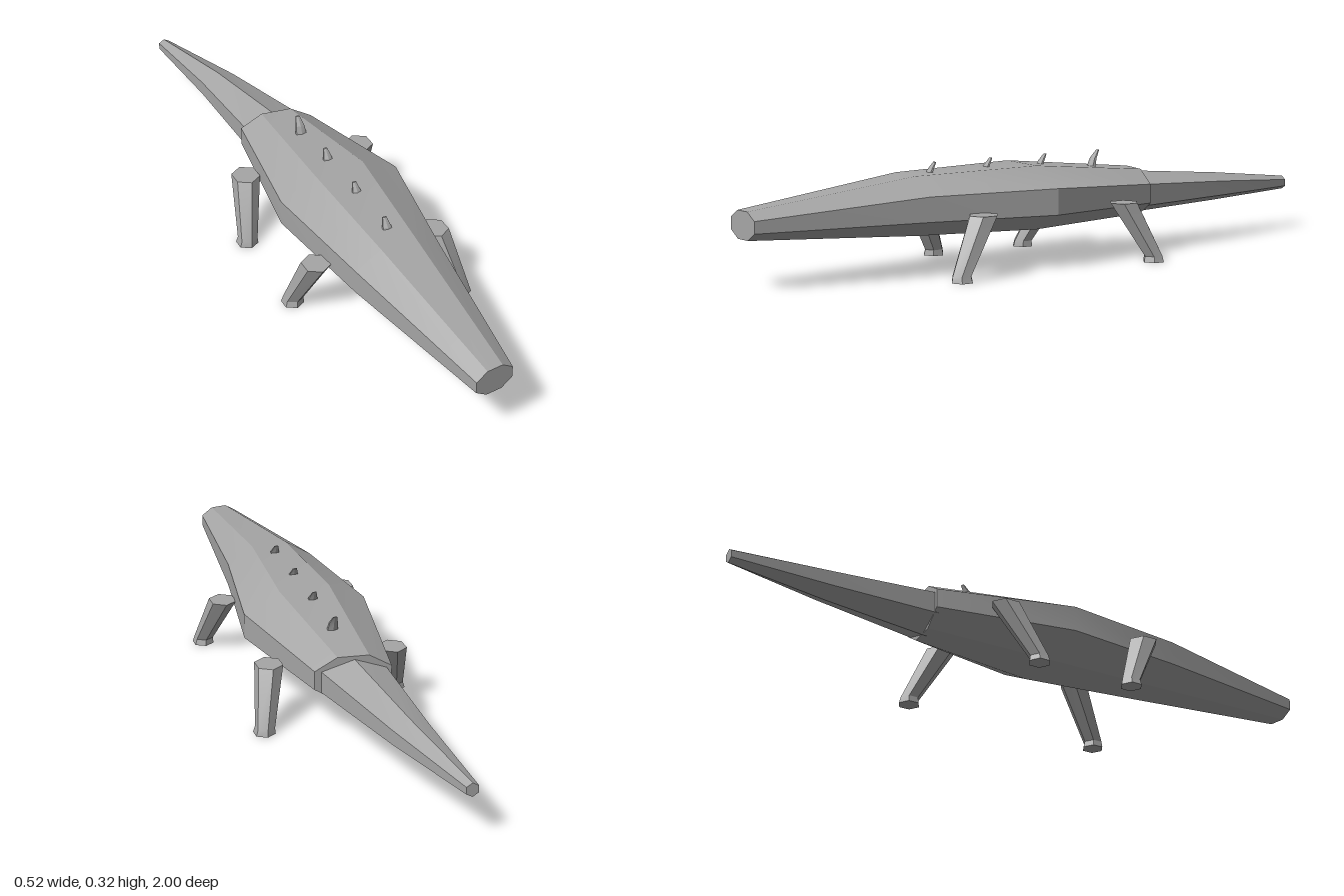
import * as THREE from 'three';
import { toCreasedNormals } from 'three/addons/utils/BufferGeometryUtils.js';

const V = (x, y, z) => new THREE.Vector3(x, y, z);

// Skin a list of equal-length rings and close both ends
function loft(rings, crease) {
  const pos = [];
  const tri = (...pts) => pts.forEach((p) => pos.push(p.x, p.y, p.z));
  const n = rings[0].length;
  for (let i = 0; i < rings.length - 1; i++) {
    for (let j = 0; j < n; j++) {
      const k = (j + 1) % n;
      const a = rings[i][j], b = rings[i][k], c = rings[i + 1][k], d = rings[i + 1][j];
      tri(a, b, c);
      tri(a, c, d);
    }
  }
  const first = rings[0], last = rings[rings.length - 1];
  for (let j = 1; j < n - 1; j++) {
    tri(first[0], first[j + 1], first[j]);
    tri(last[0], last[j], last[j + 1]);
  }
  const g = new THREE.BufferGeometry();
  g.setAttribute('position', new THREE.Float32BufferAttribute(pos, 3));
  return toCreasedNormals(g, crease);
}

// Eight-sided body section; skew slants the section in plan
function bodyRing({ z, cx, w, flat, y, skew }) {
  const [bottom, low, high, top] = y;
  return [[w, low], [w, high], [flat, top], [-flat, top], [-w, high], [-w, low], [-flat, bottom], [flat, bottom]]
    .map(([x, h]) => V(cx + x, h, z + x * skew));
}

// Six-sided tail section with a ridge on top
function tailRing([z, cx, w, bottom, top]) {
  const mid = (top + bottom) / 2, h = (top - bottom) / 2;
  return Array.from({ length: 6 }, (_, i) => {
    const a = (i - 0.5) * Math.PI / 3;
    return V(cx + w * Math.cos(a) / Math.cos(Math.PI / 6), mid + h * Math.sin(a), z);
  });
}

// Horizontal six-sided section for legs and spikes
function flatRing(cx, y, cz, rx, rz) {
  return Array.from({ length: 6 }, (_, i) => {
    const a = (i + 0.5) * Math.PI / 3;
    return V(cx + rx * Math.cos(a), y, cz - rz * Math.sin(a));
  });
}

export function createModel() {
  const group = new THREE.Group();
  const grey = new THREE.MeshStandardMaterial({ color: 0xa6a6a6 });
  grey.name = 'stone grey';
  const add = (name, geometry) => {
    const mesh = new THREE.Mesh(geometry, grey);
    mesh.name = name;
    group.add(mesh);
  };

  // Body, from hips to blunt snout
  add('body', loft([
    { z: -0.335, cx: -0.008, w: 0.112, flat: 0.046, y: [0.115, 0.155, 0.213, 0.252], skew: 0.13 },
    { z: 0.08, cx: 0.004, w: 0.192, flat: 0.079, y: [0.104, 0.16, 0.238, 0.294], skew: -0.03 },
    { z: 0.47, cx: -0.004, w: 0.136, flat: 0.056, y: [0.113, 0.162, 0.235, 0.286], skew: -0.03 },
    { z: 0.992, cx: 0.013, w: 0.06, flat: 0.025, y: [0.141, 0.164, 0.199, 0.222], skew: -0.13 },
  ].map(bodyRing), 0.3));

  // Tail, sweeping to one side
  add('tail', loft([
    [-1, -0.108, 0.018, 0.127, 0.169],
    [-0.68, -0.054, 0.055, 0.12, 0.208],
    [-0.32, -0.01, 0.095, 0.112, 0.243],
  ].map(tailRing), 0.3));

  // Legs: side, shoulder z, foot z
  const legs = [
    ['frontLeftLeg', 1, 0.325, 0.42],
    ['frontRightLeg', -1, 0.325, 0.25],
    ['backLeftLeg', 1, -0.16, -0.242],
    ['backRightLeg', -1, -0.16, -0.07],
  ];
  for (const [name, side, topZ, footZ] of legs) {
    add(name, loft([
      flatRing(side * 0.232, 0, footZ, 0.034, 0.034),
      flatRing(side * 0.23, 0.018, footZ, 0.03, 0.03),
      flatRing(side * 0.192, 0.18, topZ, 0.043, 0.046),
    ], 0.3));
  }

  // Back spikes, leaning towards the tail
  for (const z of [0.385, 0.195, 0.005, -0.185]) {
    add('spike', loft([
      flatRing(0, 0.258, z + 0.016, 0.02, 0.011),
      flatRing(0, 0.292, z + 0.006, 0.015, 0.007),
      flatRing(0, 0.316, z - 0.01, 0.007, 0.003),
    ], 0.3));
  }
  return group;
}
